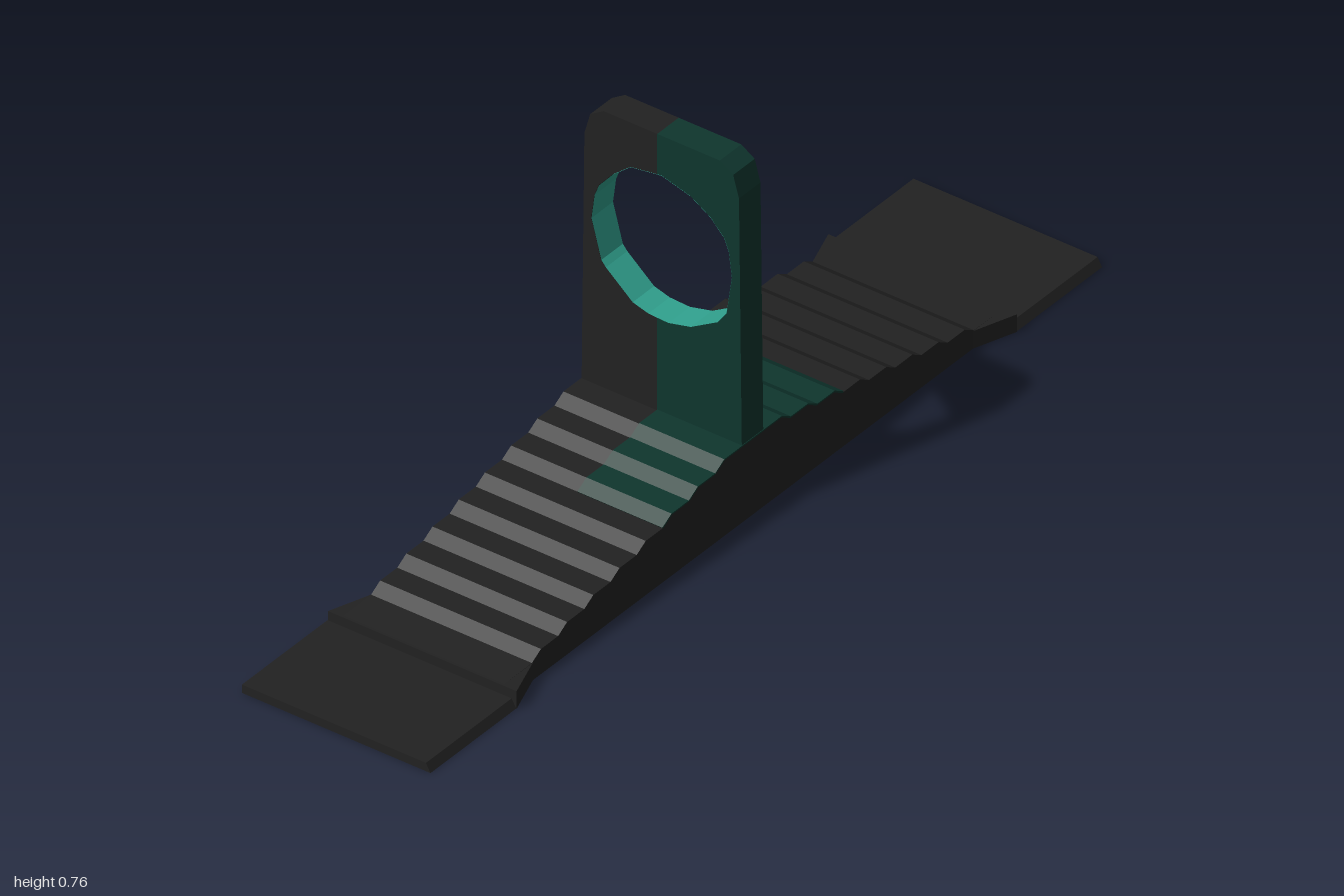
import * as THREE from 'three';

const mat = (name, color) => {
  const m = new THREE.MeshStandardMaterial({ color });
  m.name = name;
  return m;
};

// Extrude a closed outline from z0 to z1
function slab(points, z0, z1) {
  const shape = new THREE.Shape(points.map(([x, y]) => new THREE.Vector2(x, y)));
  const g = new THREE.ExtrudeGeometry(shape, { depth: z1 - z0, bevelEnabled: false });
  return g.translate(0, 0, z0);
}

// Extrude a (z, y) outline along x from x0 to x1
const slabX = (points, x0, x1) => slab(points, -x1, -x0).rotateY(-Math.PI / 2);

export function createModel() {
  const root = new THREE.Group();
  const black = mat('black', 0x222222);
  const green = mat('dark green', 0x0f362e);
  const teal = mat('teal', 0x31a390);
  teal.side = THREE.DoubleSide;

  const add = (name, geometry, material) => {
    const m = new THREE.Mesh(geometry, material);
    m.name = name;
    root.add(m);
    return m;
  };

  // Stepped slope, from the middle out to one side
  const steps = (count) => {
    const pts = [];
    for (let i = 0; i < count; i++) {
      const x = 0.085 + 0.078 * i, y = 0.165 - 0.0158 * i;
      pts.push([x, y], [x + 0.027, y - 0.0158]);
    }
    return pts;
  };
  const mirrored = (pts) => [...pts.map(([x, y]) => [-x, y]).reverse(), ...pts];

  // Ribbed ramp
  const half = [...steps(8), [0.74, 0.038], [0.74, 0]];
  add('ramp', slab(mirrored(half).reverse(), -0.18, 0.18), black);

  // Thin green patch following the steps, on the front half only
  const top = mirrored(steps(3));
  const lifted = top.map(([x, y]) => [x * 1.008, y + 0.002]);
  const under = top.map(([x, y]) => [x, y - 0.001]).reverse();
  add('rampPatch', slab([...lifted, ...under].reverse(), -0.01, 0.1805), green);

  for (const s of [1, -1]) {
    const side = s > 0 ? 'left' : 'right';
    // Flat end pad with a bevelled front edge
    const section = [[-0.212, 0], [0.21, 0], [0.2, 0.018], [-0.212, 0.018]];
    add(side + 'Pad', slabX(section, s > 0 ? 0.74 : -1, s > 0 ? 1 : -0.74), black);
    // Flared collar between pad and ramp
    const flare = [[0.655, -0.18], [0.745, -0.211], [0.745, 0.211], [0.655, 0.18]]
      .map(([x, z]) => [s * x, -z]);
    add(side + 'Collar', slab(flare, 0, 0.038).rotateX(-Math.PI / 2), black);
  }

  // Rounded hole outline as (z, y), running from the top through the front and back to the top
  const split = -0.01;
  const frontHole = [[split, 0.677], [0, 0.678], [0.065, 0.66], [0.11, 0.632], [0.14, 0.6], [0.15, 0.575],
    [0.157, 0.522], [0.145, 0.44], [0.125, 0.412], [0.065, 0.377], [0.015, 0.365], [split, 0.366]];
  const backHole = [[split, 0.366], [-0.03, 0.367], [-0.065, 0.377], [-0.125, 0.428], [-0.135, 0.44],
    [-0.157, 0.522], [-0.15, 0.575], [-0.14, 0.6], [-0.11, 0.635], [-0.07, 0.668], [split, 0.677]];
  const grow = ([z, y]) => [z === split ? z : z * 1.004, 0.522 + (y - 0.522) * 1.004];

  // Upright post in two colours
  const w = 0.032;
  const edge = [[0.18, 0.1], [0.173, 0.7], [0.16, 0.746], [0.13, 0.765]];
  const frontOutline = [[split, 0.1], ...edge, [split, 0.765], ...frontHole.map(grow)];
  const backOutline = [[split, 0.765], ...edge.map(([z, y]) => [-z, y]).reverse(), [split, 0.1],
    ...backHole.map(grow)];
  add('postFront', slabX(frontOutline, -w, w), green);
  add('postBack', slabX(backOutline, -w, w), black);

  // Faceted lining of the hole
  const loop = [...frontHole, ...backHole.slice(1)];
  const pos = [];
  for (let i = 0; i < loop.length - 1; i++) {
    const [z0, y0] = loop[i], [z1, y1] = loop[i + 1];
    pos.push(-w, y0, z0, w, y0, z0, w, y1, z1, -w, y0, z0, w, y1, z1, -w, y1, z1);
  }
  const lining = new THREE.BufferGeometry();
  lining.setAttribute('position', new THREE.Float32BufferAttribute(pos, 3));
  lining.computeVertexNormals();
  add('holeLining', lining, teal);

  return root;
}
